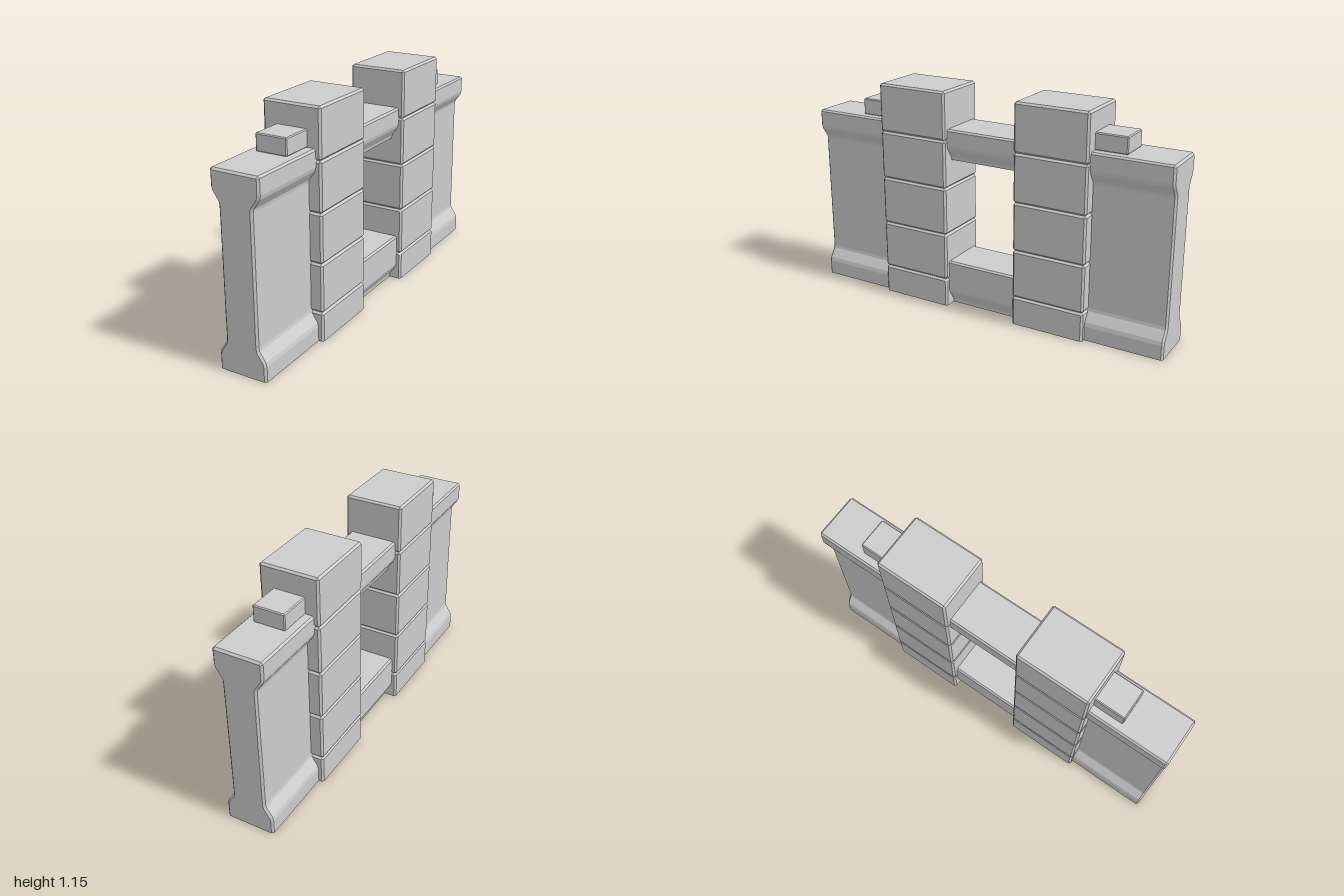
import * as THREE from 'three';
import { ConvexGeometry } from 'three/addons/geometries/ConvexGeometry.js';

const material = new THREE.MeshStandardMaterial({ color: 0xcccccc, flatShading: true });
const BEVEL = 0.01;

// Cut everything below the ground flush with y = 0
function clipToGround(geometry) {
  const p = geometry.attributes.position;
  for (let i = 0; i < p.count; i++) p.setY(i, Math.max(0, p.getY(i)));
  return geometry;
}

// Box with all twelve edges chamfered, given by its extents
function chamferBox(name, x, y0, y1, z0, z1, b) {
  const points = [];
  const h = [x, (y1 - y0) / 2, (z1 - z0) / 2];
  for (let axis = 0; axis < 3; axis++)
    for (const sx of [-1, 1]) for (const sy of [-1, 1]) for (const sz of [-1, 1]) {
      const v = h.map((size, i) => (i === axis ? size : size - b));
      points.push(new THREE.Vector3(sx * v[0], sy * v[1] + (y0 + y1) / 2, sz * v[2] + (z0 + z1) / 2));
    }
  const mesh = new THREE.Mesh(clipToGround(new ConvexGeometry(points)), material);
  mesh.name = name;
  return mesh;
}

// Mirrored half-profile [x, y] (bottom to top) run along z, with bevelled ends
function moulding(name, half, z0, z1) {
  const outline = [...half, ...half.map(([x, y]) => [-x, y]).reverse()];
  const shape = new THREE.Shape(outline.map(([x, y]) => new THREE.Vector2(x, y)));
  const geometry = new THREE.ExtrudeGeometry(shape, {
    depth: z1 - z0 - 2 * BEVEL, bevelEnabled: true, bevelSegments: 1,
    bevelSize: BEVEL, bevelThickness: BEVEL, bevelOffset: -BEVEL,
  });
  geometry.translate(0, 0, z0 + BEVEL);
  const mesh = new THREE.Mesh(clipToGround(geometry), material);
  mesh.name = name;
  return mesh;
}

export function createModel() {
  const model = new THREE.Group();
  model.name = 'wallWithWindow';

  // Flared upper rail, shared by the wall panels and the lintel
  const upper = [[0.087, 0.79], [0.09, 0.806], [0.121, 0.852], [0.126, 0.87], [0.126, 0.947], [0.117, 0.956]];
  const lower = [[0.126, -0.03], [0.126, 0.075], [0.121, 0.095], [0.09, 0.142], [0.087, 0.158]];
  const sill = [[0.087, -0.03], [0.087, 0.01], [0.09, 0.022], [0.121, 0.068], [0.126, 0.085], [0.126, 0.237], [0.117, 0.246]];

  // End wall panels
  model.add(moulding('frontWall', [...lower, ...upper], 0.38, 1));
  model.add(moulding('backWall', [...lower, ...upper], -1, -0.4));

  // Lintel and sill around the opening
  model.add(moulding('lintel', upper, -0.28, 0.27));
  model.add(moulding('sill', sill, -0.28, 0.27));

  // Pillars of stacked blocks, the lowest sunk into the ground
  for (const [name, z] of [['frontPillar', 0.38], ['backPillar', -0.4]]) {
    const pillar = new THREE.Group();
    pillar.name = name;
    for (let i = 0; i < 5; i++) {
      const y = -0.1 + i * 0.25;
      pillar.add(chamferBox('pillarBlock', 0.152, y, y + 0.25, z - 0.195, z + 0.195, BEVEL));
    }
    model.add(pillar);
  }

  // Small coping blocks on top of the wall panels
  model.add(chamferBox('frontCoping', 0.082, 0.955, 1.041, 0.4, 0.733, 0.005));
  model.add(chamferBox('backCoping', 0.082, 0.955, 1.041, -0.757, -0.42, 0.005));
  return model;
}
